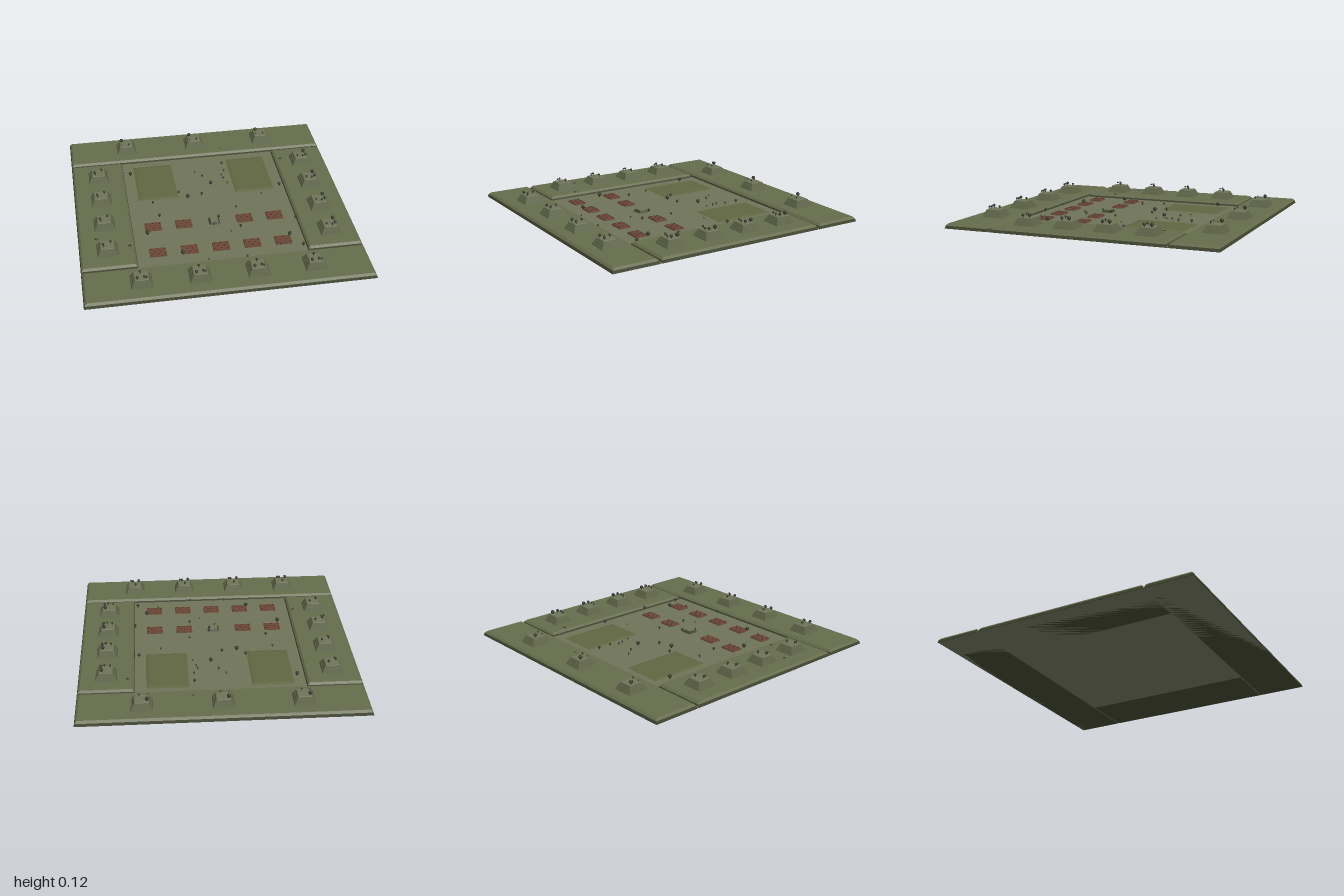
import * as THREE from 'three';

const mat = (color) => new THREE.MeshStandardMaterial({ color, flatShading: true });
const grass = mat(0x656b4b), floorMat = mat(0x6d7258), courtMat = mat(0x5f6541), stone = mat(0x5f6548);
const brick = mat(0x6b4736), darkBrick = mat(0x4a3026), leaf = mat(0x30362a), bark = mat(0x3a3026), edge = mat(0x41452f);

// Four-sided block whose top is inset on every side
function taperedBlock(name, w, h, d, inset, material) {
  const geo = new THREE.BoxGeometry(w, h, d);
  geo.translate(0, h / 2, 0);
  const p = geo.attributes.position;
  for (let i = 0; i < p.count; i++) {
    if (p.getY(i) > h / 2) {
      p.setX(i, p.getX(i) - Math.sign(p.getX(i)) * inset);
      p.setZ(i, p.getZ(i) - Math.sign(p.getZ(i)) * inset);
    }
  }
  geo.computeVertexNormals();
  const mesh = new THREE.Mesh(geo, material);
  mesh.name = name;
  return mesh;
}

// Earth terrace: steep foot and bevelled grass top
function terrace(name, x, z, w, d) {
  const g = new THREE.Group();
  g.name = name;
  const foot = taperedBlock('terraceFoot', w, 0.02, d, 0.006, edge);
  const top = taperedBlock('terraceTop', w - 0.012, 0.015, d - 0.012, 0.014, grass);
  top.position.y = 0.02;
  g.add(foot, top);
  g.position.set(x, 0, z);
  return g;
}

const crownGeo = new THREE.IcosahedronGeometry(1, 1);
const trunkGeo = new THREE.CylinderGeometry(0.7, 1, 1, 5);

// Tree with a thin trunk and a round crown
function tree(x, y, z, r, height) {
  const g = new THREE.Group();
  g.name = 'tree';
  const trunk = new THREE.Mesh(trunkGeo, bark);
  trunk.name = 'trunk';
  trunk.scale.set(r * 0.25, height - r, r * 0.25);
  trunk.position.y = (height - r) / 2;
  const crown = new THREE.Mesh(crownGeo, leaf);
  crown.name = 'crown';
  crown.scale.set(r, r * 0.95, r);
  crown.position.y = height - r;
  g.add(trunk, crown);
  g.position.set(x, y, z);
  return g;
}

// Stepped pyramid with a few trees on its flat top
function pyramid(x, z, trees) {
  const g = new THREE.Group();
  g.name = 'steppedPyramid';
  [0.15, 0.132, 0.114].forEach((w, i) => {
    const tier = taperedBlock('tier', w, 0.017, w, 0.006, stone);
    tier.position.y = i * 0.017;
    g.add(tier);
  });
  const cap = taperedBlock('pyramidTop', 0.096, 0.003, 0.096, 0.002, floorMat);
  cap.position.y = 0.051;
  g.add(cap);
  for (const [tx, tz, r] of trees) g.add(tree(tx, 0.053, tz, r, 0.013 + r * 1.5));
  g.position.set(x, 0.035, z);
  return g;
}

// Low brick plot with rows of small raised bricks
function plot(x, z) {
  const g = new THREE.Group();
  g.name = 'brickPlot';
  g.add(taperedBlock('plotBase', 0.12, 0.012, 0.088, 0.002, brick));
  const studGeo = new THREE.BoxGeometry(0.01, 0.005, 0.008);
  for (let i = 0; i < 5; i++) {
    for (let j = 0; j < 3; j++) {
      const stud = new THREE.Mesh(studGeo, (i + j) % 2 ? brick : darkBrick);
      stud.name = 'plotBrick';
      stud.position.set((i - 2) * 0.023, 0.0135, (j - 1) * 0.028);
      g.add(stud);
    }
  }
  g.position.set(x, 0.008, z);
  return g;
}

export function createModel() {
  const model = new THREE.Group();
  model.name = 'terracedPlaza';

  // Plaza floor
  model.add(taperedBlock('plazaFloor', 1.99, 0.008, 1.99, 0, floorMat));

  // Terraces around the plaza
  model.add(terrace('backTerrace', 0, -0.827, 2, 0.346));
  model.add(terrace('frontTerrace', 0, 0.827, 2, 0.346));
  for (const s of [-1, 1]) model.add(terrace(s > 0 ? 'leftTerrace' : 'rightTerrace', s * 0.8, 0, 0.4, 1.29));

  // Pyramids on the terraces
  const backTrees = [[-0.035, -0.027, 0.014], [0.018, 0.032, 0.007], [-0.04, 0.03, 0.005]];
  const frontTrees = [[-0.005, -0.025, 0.009], [-0.03, 0.036, 0.011], [0.018, 0.028, 0.009], [0.033, 0.036, 0.008]];
  const rightTrees = [[0.025, -0.015, 0.009], [-0.03, 0.01, 0.009], [-0.025, 0.03, 0.007]];
  const leftTrees = [[0.03, -0.03, 0.014], [0.035, 0.02, 0.011], [-0.03, 0.025, 0.008], [0.01, 0.035, 0.008]];
  for (const x of [-0.55, 0, 0.55]) model.add(pyramid(x, -0.83, backTrees));
  for (const x of [-0.6, -0.2, 0.2, 0.6]) model.add(pyramid(x, 0.82, frontTrees));
  for (const z of [-0.45, -0.15, 0.15, 0.45]) {
    model.add(pyramid(-0.8, z, rightTrees));
    model.add(pyramid(0.8, z, leftTrees));
  }

  // Two grass courts
  for (const s of [-1, 1]) {
    const court = taperedBlock('grassCourt', 0.3, 0.007, 0.45, 0.022, courtMat);
    court.position.set(s * 0.37, 0.008, -0.365);
    model.add(court);
  }

  // Two rows of brick plots with an altar in the gap
  for (const z of [0.2, 0.5]) {
    for (const x of [-0.45, -0.225, 0, 0.225, 0.45]) {
      if (x !== 0 || z === 0.5) model.add(plot(x, z));
    }
  }
  const altar = new THREE.Group();
  altar.name = 'altar';
  const altarTop = taperedBlock('altarTop', 0.056, 0.004, 0.056, 0.002, floorMat);
  altarTop.position.y = 0.018;
  altar.add(taperedBlock('altarBase', 0.08, 0.018, 0.08, 0.01, edge), altarTop);
  altar.position.set(0, 0.008, 0.2);
  model.add(altar);

  // Scattered shrubs: x, z, crown radius
  const shrubs = [
    -0.55, -0.49, 0.014, -0.85, -0.68, 0.01, 0.2, -0.73, 0.012, 0.18, -0.53, 0.01, 0, -0.38, 0.008,
    -0.05, -0.44, 0.006, 0.18, -0.43, 0.008, 0.15, -0.37, 0.007, 0.16, -0.33, 0.007, 0.05, -0.27, 0.014,
    0.18, -0.26, 0.006, -0.21, -0.19, 0.01, -0.15, -0.12, 0.015, -0.04, -0.14, 0.01, -0.42, -0.09, 0.008,
    0.57, -0.17, 0.012, 0.65, -0.5, 0.014, 0.41, -0.08, 0.005, -0.39, 0.08, 0.01, 0.19, 0.06, 0.008,
    0.04, 0.16, 0.01, -0.5, 0.28, 0.015, -0.01, 0.25, 0.007, 0.18, 0.3, 0.01, 0.1, 0.35, 0.005,
    0.6, 0.26, 0.012, -0.64, 0.42, 0.014, -0.87, 0.31, 0.014, -0.28, 0.54, 0.014, 0.51, 0.45, 0.014,
    0.58, 0.58, 0.012, 0.42, 0.55, 0.006, 0.16, 0.65, 0.008, -0.11, 0.64, 0.006,
  ];
  for (let i = 0; i < shrubs.length; i += 3) {
    const [x, z, r] = shrubs.slice(i, i + 3);
    model.add(tree(x, 0.008, z, r, 0.012 + r * 1.6));
  }
  return model;
}
